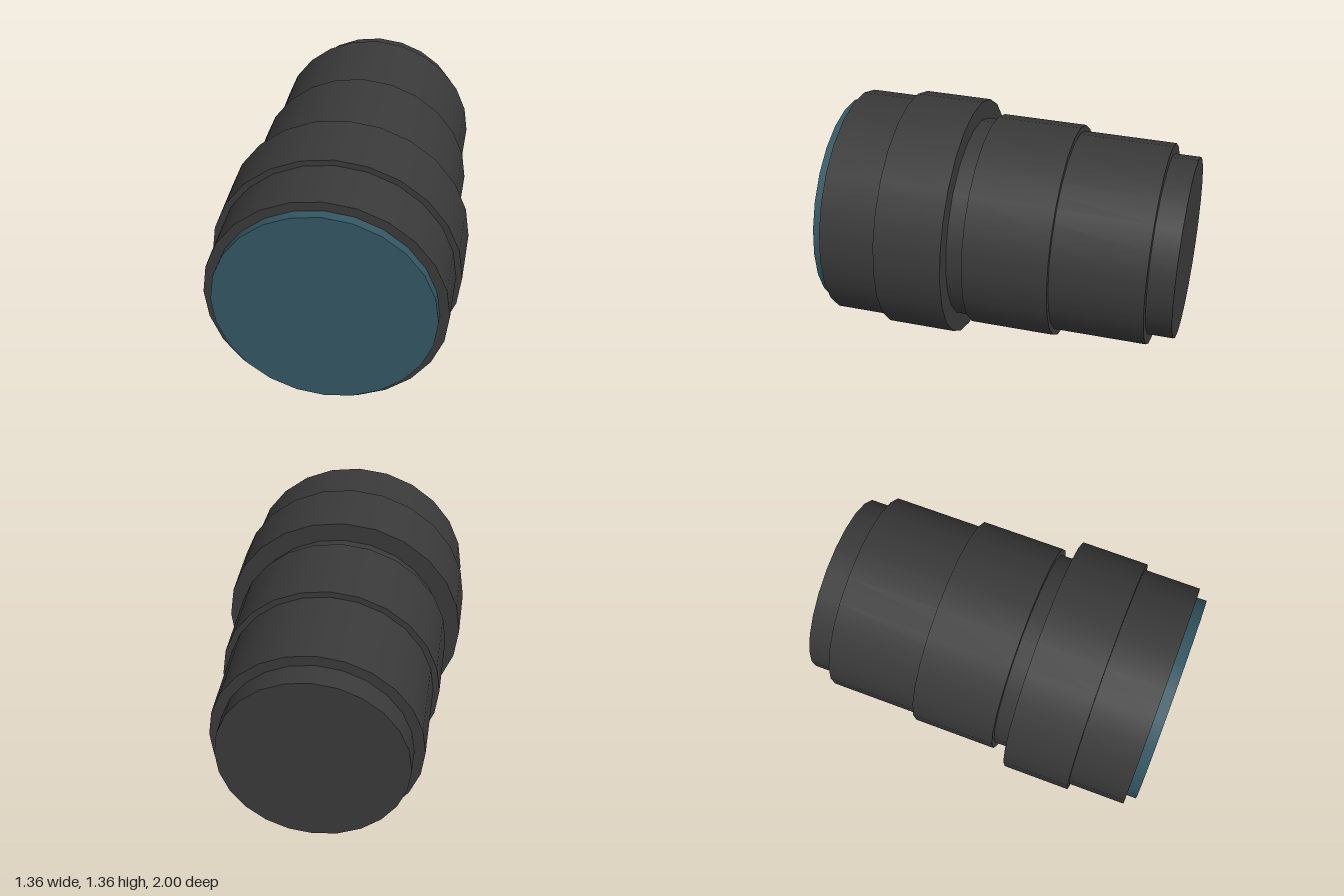
import * as THREE from 'three';

const AXIS_Y = 0.68;
const SIDES = 24;

export function createModel() {
  const model = new THREE.Group();
  model.name = 'cameraLens';

  const barrelMaterial = new THREE.MeshStandardMaterial({ color: 0x3a3a3a });
  const glassMaterial = new THREE.MeshStandardMaterial({ color: 0x345763 });

  // A closed cylinder lying along z between two depths
  function addSection(name, radius, zBack, zFront, material = barrelMaterial) {
    const geometry = new THREE.CylinderGeometry(radius, radius, zFront - zBack, SIDES);
    geometry.rotateX(Math.PI / 2);
    const mesh = new THREE.Mesh(geometry, material);
    mesh.name = name;
    mesh.position.set(0, AXIS_Y, (zBack + zFront) / 2);
    model.add(mesh);
  }

  // Barrel sections from back to front
  addSection('mount', 0.514, -1, -0.855);
  addSection('barrel', 0.572, -0.855, 0.24);
  addSection('zoomRing', 0.606, -0.333, 0.143);
  addSection('focusRing', 0.68, 0.24, 0.62);
  addSection('frontBarrel', 0.647, 0.62, 0.943);

  // Front glass
  addSection('frontGlass', 0.595, 0.943, 1, glassMaterial);

  return model;
}
